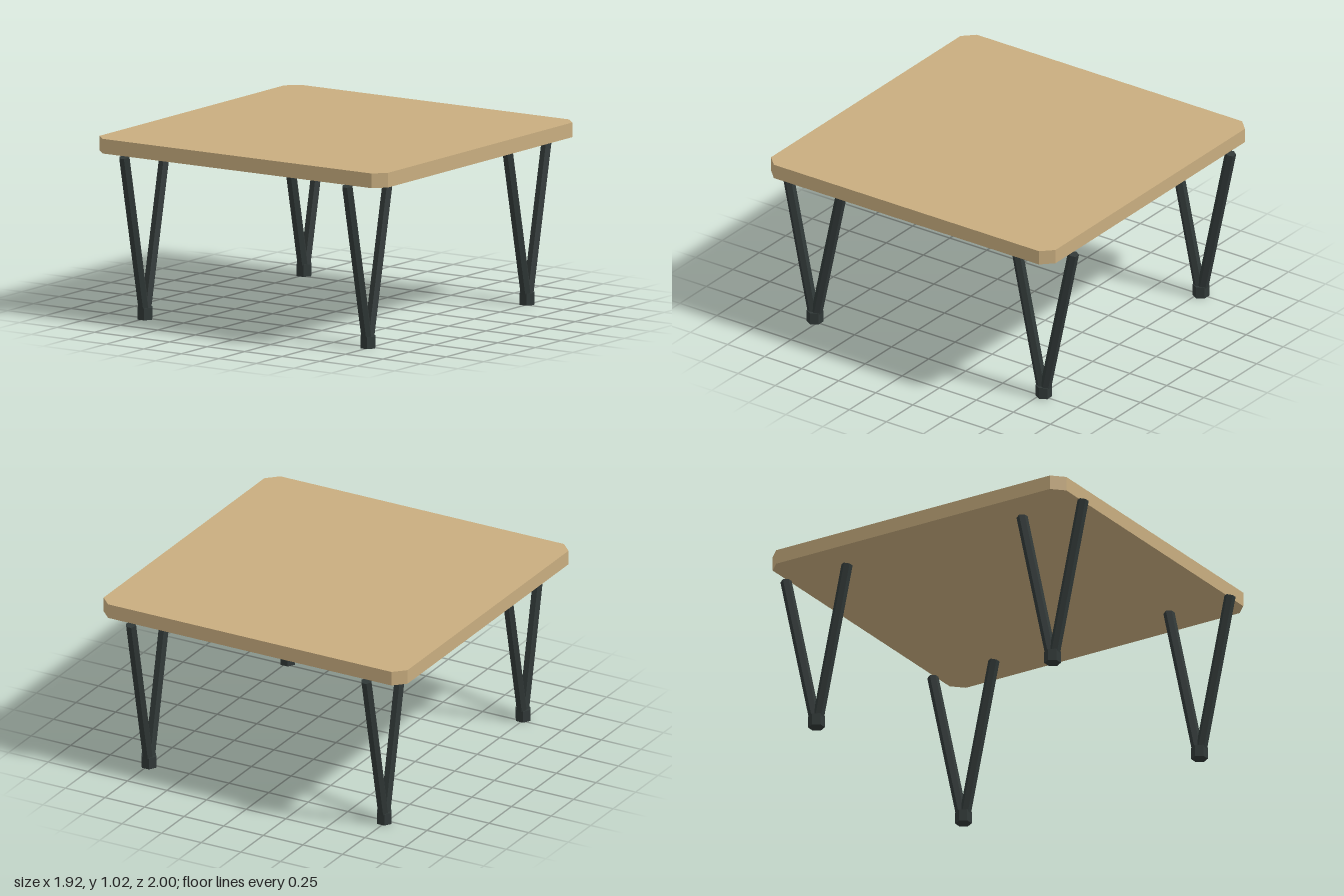
import * as THREE from 'three';

export function createModel() {
  const wood = new THREE.MeshStandardMaterial({ color: 0xc8ad7f });
  wood.name = 'lightWood';
  const metal = new THREE.MeshStandardMaterial({ color: 0x303837, flatShading: true });
  metal.name = 'darkMetal';

  const model = new THREE.Group();
  model.name = 'table';

  // Table top: a square slab with clipped corners
  const half = 0.96, cut = 0.895, topY = 1.02, bottomY = 0.938;
  const outline = new THREE.Shape([
    [cut, -half], [half, -cut], [half, cut], [cut, half],
    [-cut, half], [-half, cut], [-half, -cut], [-cut, -half],
  ].map(([x, y]) => new THREE.Vector2(x, y)));
  const slab = new THREE.ExtrudeGeometry(outline, { depth: topY - bottomY, bevelEnabled: false });
  slab.rotateX(-Math.PI / 2);
  const tableTop = new THREE.Mesh(slab, wood);
  tableTop.name = 'tableTop';
  tableTop.position.y = bottomY;
  model.add(tableTop);

  // Hexagonal bar with two corners pointing along x
  const hexBar = (radius, length) =>
    new THREE.CylinderGeometry(radius, radius, length, 6).rotateY(Math.PI / 2);

  // Legs: two bars spread into a V above a hexagonal foot
  const spread = 0.2, height = 0.936, footHeight = 0.067;
  const startY = 0.03;
  const slope = spread / height;
  const rise = height - startY;
  const barGeometry = hexBar(0.031, rise * Math.hypot(1, slope));
  const footGeometry = hexBar(0.046, footHeight);

  for (const sx of [-1, 1]) {
    for (const sz of [-1, 1]) {
      const leg = new THREE.Group();
      leg.name = `${sz > 0 ? 'front' : 'back'}${sx > 0 ? 'Left' : 'Right'}Leg`;
      leg.position.set(sx * 0.743, 0, sz * 0.772);

      const foot = new THREE.Mesh(footGeometry, metal);
      foot.name = 'foot';
      foot.position.y = footHeight / 2;
      leg.add(foot);

      for (const side of [-1, 1]) {
        const bar = new THREE.Mesh(barGeometry, metal);
        bar.name = side === sz ? 'outerBar' : 'innerBar';
        const midY = startY + rise / 2;
        bar.position.set(0, midY, side * slope * midY);
        bar.rotation.x = side * Math.atan(slope);
        leg.add(bar);
      }
      model.add(leg);
    }
  }
  return model;
}
